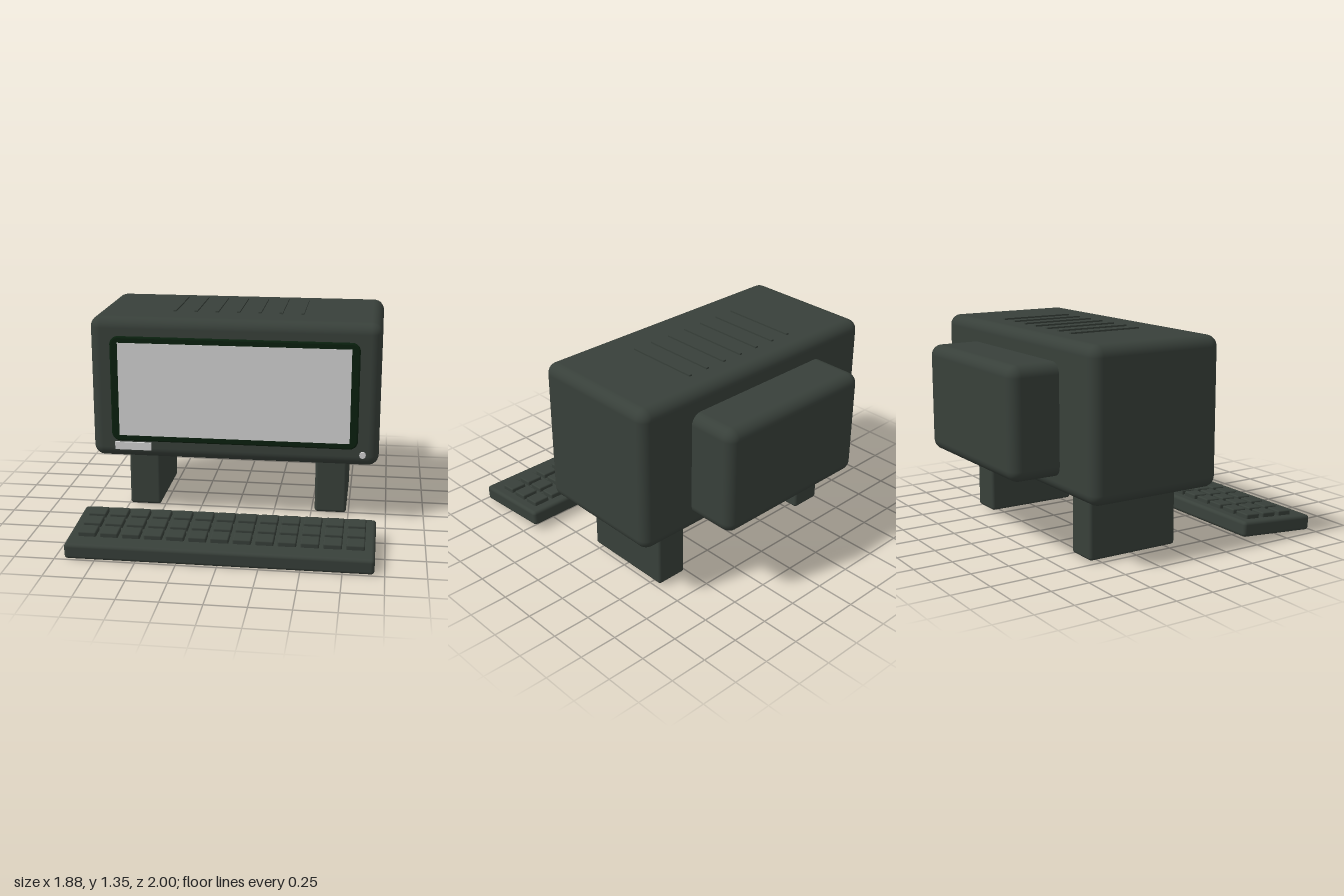
import * as THREE from 'three';
import { RoundedBoxGeometry } from 'three/addons/geometries/RoundedBoxGeometry.js';

const material = (name, color) => {
  const m = new THREE.MeshStandardMaterial({ color });
  m.name = name;
  return m;
};

export function createModel() {
  const casing = material('dark casing', 0x38403a);
  const bezelGreen = material('bezel green', 0x0a200e);
  const paleGrey = material('pale grey', 0xd0d0d0);

  const model = new THREE.Group();
  model.name = 'desktopTerminal';

  const add = (name, geometry, mat, x, y, z, parent = model) => {
    const mesh = new THREE.Mesh(geometry, mat);
    mesh.name = name;
    mesh.position.set(x, y, z);
    parent.add(mesh);
    return mesh;
  };

  // Rounded box given by its minimum and maximum corners
  const block = (name, min, max, radius, mat = casing) => {
    const size = max.map((v, i) => v - min[i]);
    const mid = max.map((v, i) => (v + min[i]) / 2);
    return add(name, new RoundedBoxGeometry(...size, 4, radius), mat, ...mid);
  };

  // Monitor housing and the rear tube cover
  block('housing', [-0.94, 0.41, -0.68], [0.94, 1.35, 0.225], 0.07);
  block('rearCover', [-0.565, 0.515, -1], [0.565, 1.21, -0.5], 0.07);

  // Two feet under the housing
  for (const side of [-1, 1]) {
    const x = side * 0.63;
    block(side > 0 ? 'leftFoot' : 'rightFoot', [x - 0.105, 0.02, -0.575], [x + 0.105, 0.43, 0.05], 0.02);
  }

  // Raised vent ribs on the roof
  for (let i = -3; i <= 3; i++) {
    add('ventRib', new THREE.BoxGeometry(0.02, 0.02, 0.495), casing, i * 0.14, 1.35, -0.268);
  }

  // Bezel: rounded plate with a fine bevel
  const bevel = 0.01, w = 0.805 - bevel, h = 0.35 - bevel, r = 0.045;
  const outline = new THREE.Shape();
  outline.moveTo(-w + r, -h);
  outline.absarc(w - r, -h + r, r, -Math.PI / 2, 0);
  outline.absarc(w - r, h - r, r, 0, Math.PI / 2);
  outline.absarc(-w + r, h - r, r, Math.PI / 2, Math.PI);
  outline.absarc(-w + r, -h + r, r, Math.PI, Math.PI * 1.5);
  const bezel = new THREE.ExtrudeGeometry(outline, {
    depth: 0.03, bevelSize: bevel, bevelThickness: bevel, bevelSegments: 2, curveSegments: 8,
  });
  add('bezel', bezel, bezelGreen, 0, 0.88, 0.203);

  // Screen, badge plate and power light
  add('screen', new THREE.BoxGeometry(1.505, 0.62, 0.004), paleGrey, 0, 0.88, 0.243);
  add('badgePlate', new THREE.BoxGeometry(0.24, 0.05, 0.03), paleGrey, -0.665, 0.495, 0.227);
  const light = new THREE.CylinderGeometry(0.021, 0.021, 0.04, 12).rotateX(Math.PI / 2);
  add('powerLight', light, paleGrey, 0.837, 0.495, 0.224);

  // Keyboard, tilted towards the user
  const keyboard = new THREE.Group();
  keyboard.name = 'keyboard';
  keyboard.position.set(0, 0.075, 0.72);
  keyboard.rotation.x = 0.075;
  model.add(keyboard);
  add('keyboardBase', new RoundedBoxGeometry(1.88, 0.1, 0.553, 3, 0.022), casing, 0, 0, 0, keyboard);

  // Three rows of thirteen keys
  const key = new RoundedBoxGeometry(0.112, 0.045, 0.103, 2, 0.009);
  for (let row = 0; row < 3; row++) {
    for (let col = -6; col <= 6; col++) {
      add('key', key, casing, col * 0.137, 0.0575, -0.159 + row * 0.133, keyboard);
    }
  }

  return model;
}
